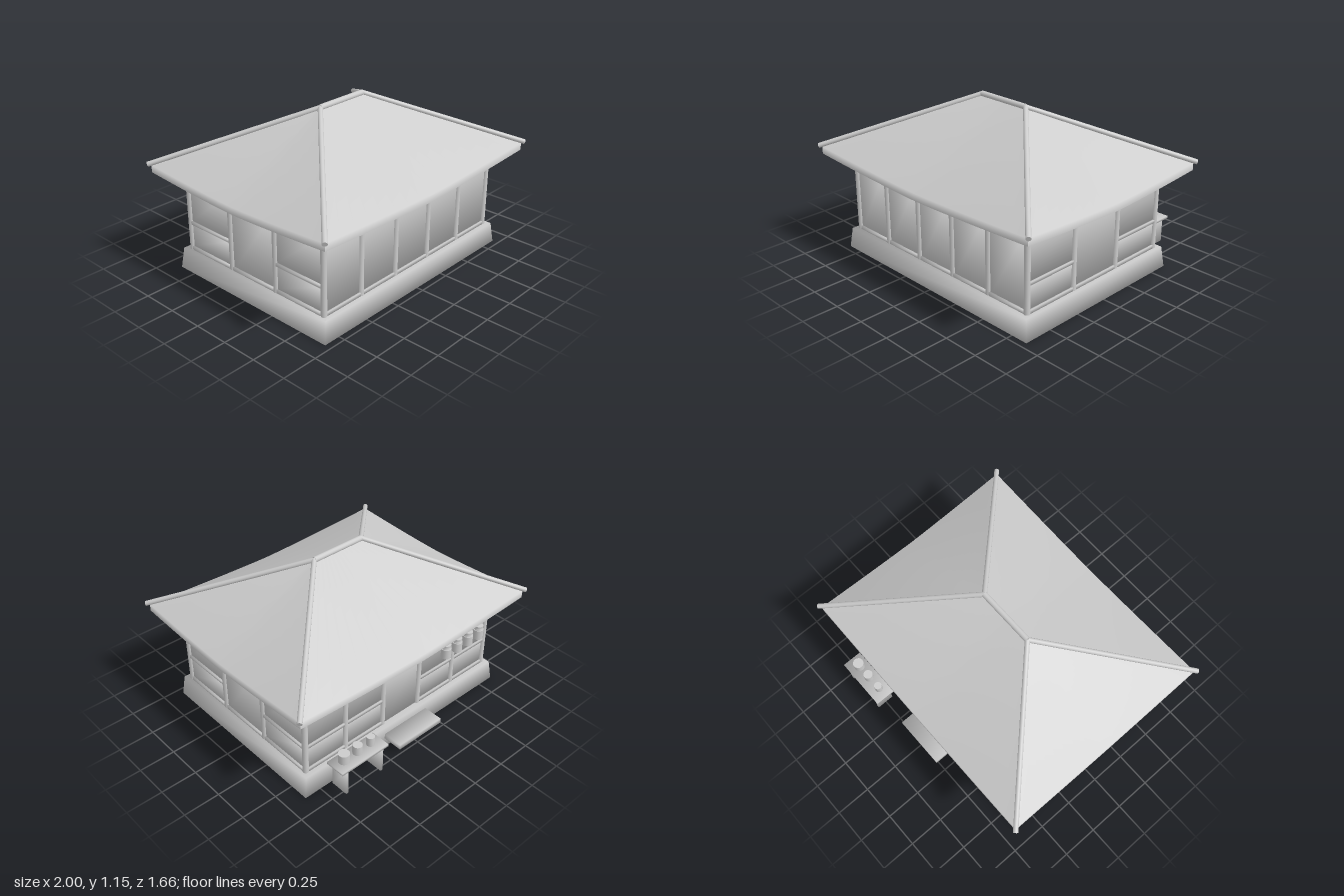
import * as THREE from 'three';

const grey = new THREE.MeshStandardMaterial({ color: 0xcccccc });
grey.name = 'plainGrey';

function add(parent, name, geo, x = 0, y = 0, z = 0) {
  const m = new THREE.Mesh(geo, grey);
  m.name = name;
  m.position.set(x, y, z);
  parent.add(m);
  return m;
}

// Box with corner-averaged normals, optionally tapered towards the top
function softBox(w, h, d, tw = w, td = d) {
  const g = new THREE.BoxGeometry(w, h, d);
  const p = g.attributes.position, n = g.attributes.normal, s = Math.sqrt(1 / 3);
  for (let i = 0; i < p.count; i++) {
    n.setXYZ(i, Math.sign(p.getX(i)) * s, Math.sign(p.getY(i)) * s, Math.sign(p.getZ(i)) * s);
    if (p.getY(i) > 0) p.setXYZ(i, p.getX(i) * tw / w, p.getY(i), p.getZ(i) * td / d);
  }
  return g;
}

// Box given by its bottom and top heights
function block(parent, name, w, y0, y1, d, x = 0, z = 0) {
  return add(parent, name, softBox(w, y1 - y0, d), x, (y0 + y1) / 2, z);
}

// Round bar between two points
function bar(parent, name, a, b, r) {
  const v = b.clone().sub(a);
  const m = add(parent, name, new THREE.CylinderGeometry(r, r, v.length(), 12));
  m.position.copy(a).add(b).multiplyScalar(0.5);
  m.quaternion.setFromUnitVectors(new THREE.Vector3(0, 1, 0), v.normalize());
}

function meshData(pos, idx) {
  const g = new THREE.BufferGeometry();
  g.setAttribute('position', new THREE.Float32BufferAttribute(pos, 3));
  g.setIndex(idx);
  g.computeVertexNormals();
  return g;
}

const FLOOR = 0.145, HEAD = 0.665, HX = 0.81, HZ = 0.605;

// One wall facing +z, made of bays: full panel, split panel with rail, or door
function wall(parent, name, width, dist, angle, bays) {
  const g = new THREE.Group();
  g.name = name;
  g.rotation.y = angle;
  parent.add(g);
  const step = width / bays.length, w = step - 0.03;
  block(g, 'topBeam', width, HEAD, 0.7, 0.03, 0, dist);
  bays.forEach((kind, i) => {
    const x = -width / 2 + step * (i + 0.5);
    if (kind !== 'open' && kind !== 'door') block(g, 'sill', w, FLOOR, 0.17, 0.03, x, dist);
    if (kind === 'split') {
      block(g, 'lowerPanel', w, 0.17, 0.337, 0.016, x, dist - 0.004);
      block(g, 'middleRail', w, 0.335, 0.357, 0.03, x, dist);
      block(g, 'upperPanel', w, 0.355, HEAD, 0.016, x, dist - 0.004);
    } else if (kind === 'door') {
      block(g, 'door', w, FLOOR, 0.55, 0.016, x, dist - 0.004);
      block(g, 'lintel', w, 0.55, 0.58, 0.035, x, dist);
      block(g, 'transom', w, 0.58, HEAD, 0.016, x, dist - 0.004);
    } else {
      block(g, 'panel', w, FLOOR, HEAD, 0.016, x, dist - 0.004);
    }
  });
}

// Hipped roof with eaves that dip towards the middle of each side
function roof(parent) {
  const g = new THREE.Group();
  g.name = 'roof';
  parent.add(g);
  const W = 0.97, D = 0.77, R = 0.2, TOP = 1.13, N = 16;
  for (let k = 0; k < 4; k++) {
    const [w, d, rw, rd] = k % 2 ? [D, W, 0, R] : [W, D, R, 0];
    const pos = [], idx = [], under = [0, 0.69, 0], uIdx = [];
    for (let i = 0; i <= N; i++) {
      const t = i / N * 2 - 1, low = 0.665 + 0.04 * Math.abs(t) ** 1.4;
      pos.push(w * t, low, d, w * t, low + 0.05, d, rw * t, TOP, rd);
      under.push(w * t, low, d);
      if (i === N) break;
      for (let r = 0; r < 2; r++) {
        const a = i * 3 + r, b = a + 3;
        idx.push(a, b, b + 1, a, b + 1, a + 1);
      }
      uIdx.push(0, i + 2, i + 1);
    }
    add(g, 'roofSlope', meshData(pos, idx)).rotation.y = k * Math.PI / 2;
    add(g, 'soffit', meshData(under, uIdx)).rotation.y = k * Math.PI / 2;
  }
  // Ridge and hip caps
  const V = (x, y, z) => new THREE.Vector3(x, y, z);
  bar(g, 'ridgeCap', V(-R, 1.133, 0), V(R, 1.133, 0), 0.02);
  for (const sx of [-1, 1]) for (const sz of [-1, 1])
    bar(g, 'hipCap', V(sx * R, 1.133, 0), V(sx * 0.988, 0.763, sz * 0.785), 0.017);
}

export function createModel() {
  const model = new THREE.Group();
  model.name = 'teaHouse';
  const house = new THREE.Group();
  house.name = 'house';
  house.position.z = 0.035;
  model.add(house);

  add(house, 'base', softBox(1.74, FLOOR, 1.34, 1.7, 1.31), 0, FLOOR / 2, 0);

  // Posts around the outside
  const post = (x, z) => add(house, 'post', new THREE.CylinderGeometry(0.02, 0.02, 0.565, 12), x, FLOOR + 0.2825, z);
  for (const s of [-1, 1]) {
    for (let i = 0; i < 6; i++) post(-HX + i * HX * 0.4, s * HZ);
    for (const t of [-1, 1]) post(s * HX, t * HZ / 3);
  }

  // Walls
  const side = ['split', 'full', 'split'];
  wall(house, 'frontWall', 2 * HX, HZ, 0, Array(5).fill('full'));
  wall(house, 'backWall', 2 * HX, HZ, Math.PI, ['split', 'split', 'door', 'split', 'split']);
  wall(house, 'leftWall', 2 * HZ, HX, Math.PI / 2, side);
  wall(house, 'rightWall', 2 * HZ, HX, -Math.PI / 2, side);
  roof(house);

  // Door step at the back
  block(model, 'doorStep', 0.38, 0.068, 0.105, 0.14, 0, -0.7);

  // Serving table with cups
  const table = new THREE.Group();
  table.name = 'table';
  model.add(table);
  block(table, 'tableTop', 0.38, 0.25, 0.267, 0.14, 0.55, -0.76);
  for (const x of [0.405, 0.695]) block(table, 'tableLeg', 0.018, 0.067, 0.25, 0.124, x, -0.76);
  [0.027, 0.032, 0.037].forEach((r, i) =>
    add(table, 'cup', new THREE.CylinderGeometry(r, r, 0.065, 16), 0.44 + i * 0.11, 0.299, -0.753));

  // Hanging lanterns under the back eave
  for (let i = 0; i < 4; i++) {
    const lantern = new THREE.Group();
    lantern.name = 'lantern';
    lantern.position.set(-0.29 - i * 0.104, 0, -0.685);
    model.add(lantern);
    add(lantern, 'lanternBody', new THREE.CylinderGeometry(0.034, 0.034, 0.07, 16), 0, 0.562, 0);
    add(lantern, 'lanternNeck', new THREE.CylinderGeometry(0.025, 0.03, 0.018, 16), 0, 0.604, 0);
    add(lantern, 'lanternCap', new THREE.CylinderGeometry(0.03, 0.03, 0.015, 16), 0, 0.62, 0);
    add(lantern, 'lanternCord', new THREE.CylinderGeometry(0.005, 0.005, 0.065, 8), 0, 0.655, 0);
  }
  return model;
}
